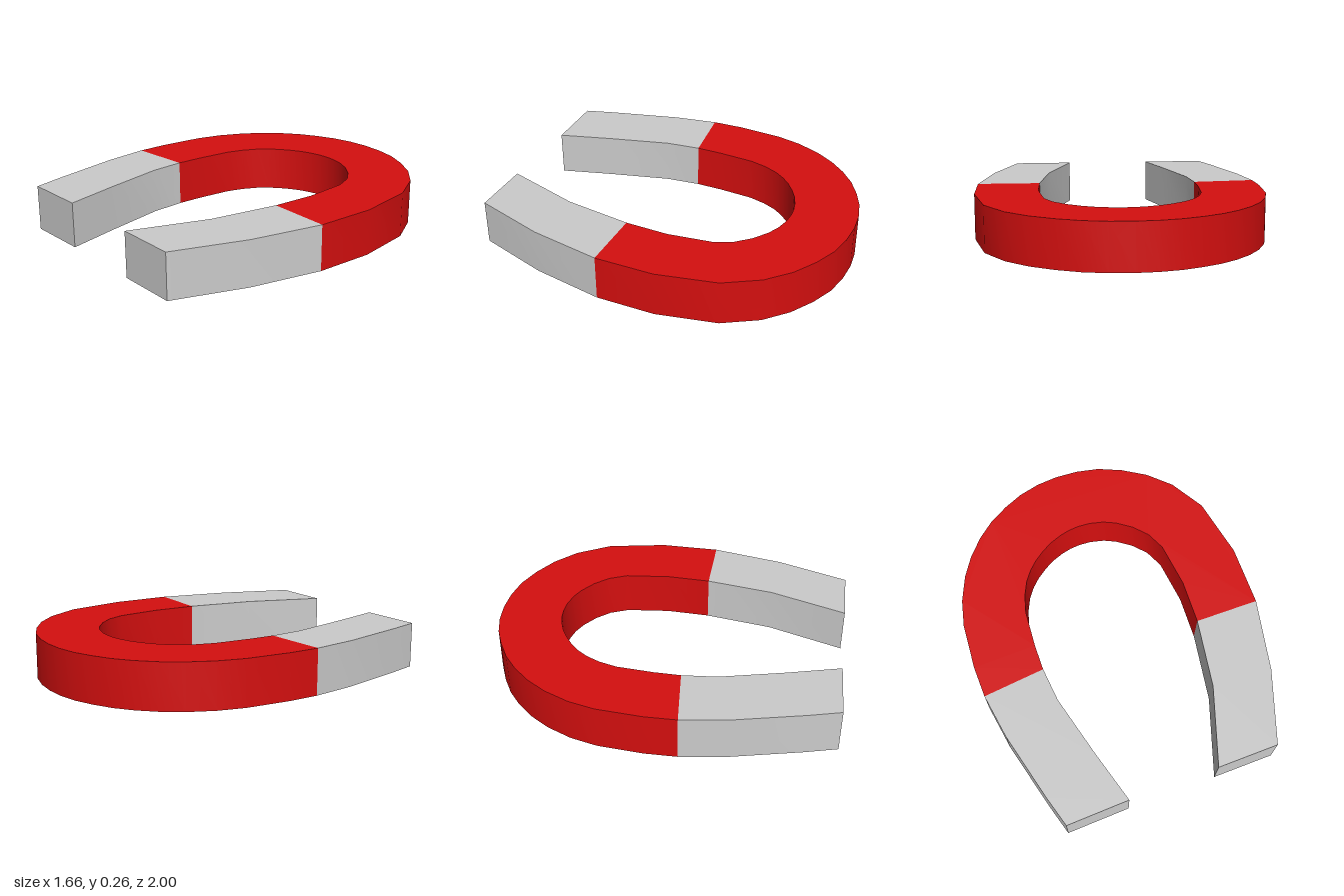
import * as THREE from 'three';
import { toCreasedNormals } from 'three/addons/utils/BufferGeometryUtils.js';

const HEIGHT = 0.26;

// Flat band lying on the ground between an outer and an inner edge, given as [x, z] points
function band(name, outer, inner, color) {
  const outline = [...outer, ...[...inner].reverse()];
  const shape = new THREE.Shape(outline.map(([x, z]) => new THREE.Vector2(x, -z)));
  const geometry = new THREE.ExtrudeGeometry(shape, { depth: HEIGHT, bevelEnabled: false });
  geometry.rotateX(-Math.PI / 2);
  const mesh = new THREE.Mesh(
    toCreasedNormals(geometry, Math.PI / 5),
    new THREE.MeshStandardMaterial({ color })
  );
  mesh.name = name;
  return mesh;
}

export function createModel() {
  const group = new THREE.Group();
  group.name = 'horseshoeMagnet';

  // Red bow, its edges running from the right arm round the back to the left arm
  const bowOuter = [
    [-0.83, 0.15], [-0.83, -0.03], [-0.805, -0.29], [-0.765, -0.44], [-0.7, -0.58],
    [-0.625, -0.69], [-0.535, -0.785], [-0.44, -0.86], [-0.33, -0.92], [-0.22, -0.965],
    [-0.1, -0.992], [0.02, -1], [0.15, -0.99], [0.28, -0.96], [0.41, -0.9],
    [0.54, -0.815], [0.66, -0.695], [0.77, -0.5], [0.83, -0.16], [0.82, 0.18],
  ];
  const bowInner = [
    [-0.47, 0.12], [-0.465, -0.03], [-0.445, -0.24], [-0.415, -0.34], [-0.375, -0.42],
    [-0.33, -0.478], [-0.28, -0.525], [-0.22, -0.567], [-0.16, -0.6], [-0.09, -0.625],
    [-0.03, -0.638], [0.03, -0.642], [0.1, -0.636], [0.18, -0.615], [0.25, -0.58],
    [0.33, -0.52], [0.4, -0.44], [0.445, -0.335], [0.47, -0.08], [0.455, 0.17],
  ];
  group.add(band('bow', bowOuter, bowInner, 0xd50f0f));

  // Bare metal poles, bending inwards towards the front
  group.add(band('rightPole',
    [[-0.83, 0.15], [-0.795, 0.41], [-0.703, 0.81], [-0.655, 0.99]],
    [[-0.47, 0.12], [-0.455, 0.32], [-0.37, 0.68], [-0.29, 0.985]], 0xcccccc));
  group.add(band('leftPole',
    [[0.82, 0.18], [0.73, 0.59], [0.583, 1]],
    [[0.455, 0.17], [0.385, 0.56], [0.23, 0.997]], 0xcccccc));

  return group;
}
